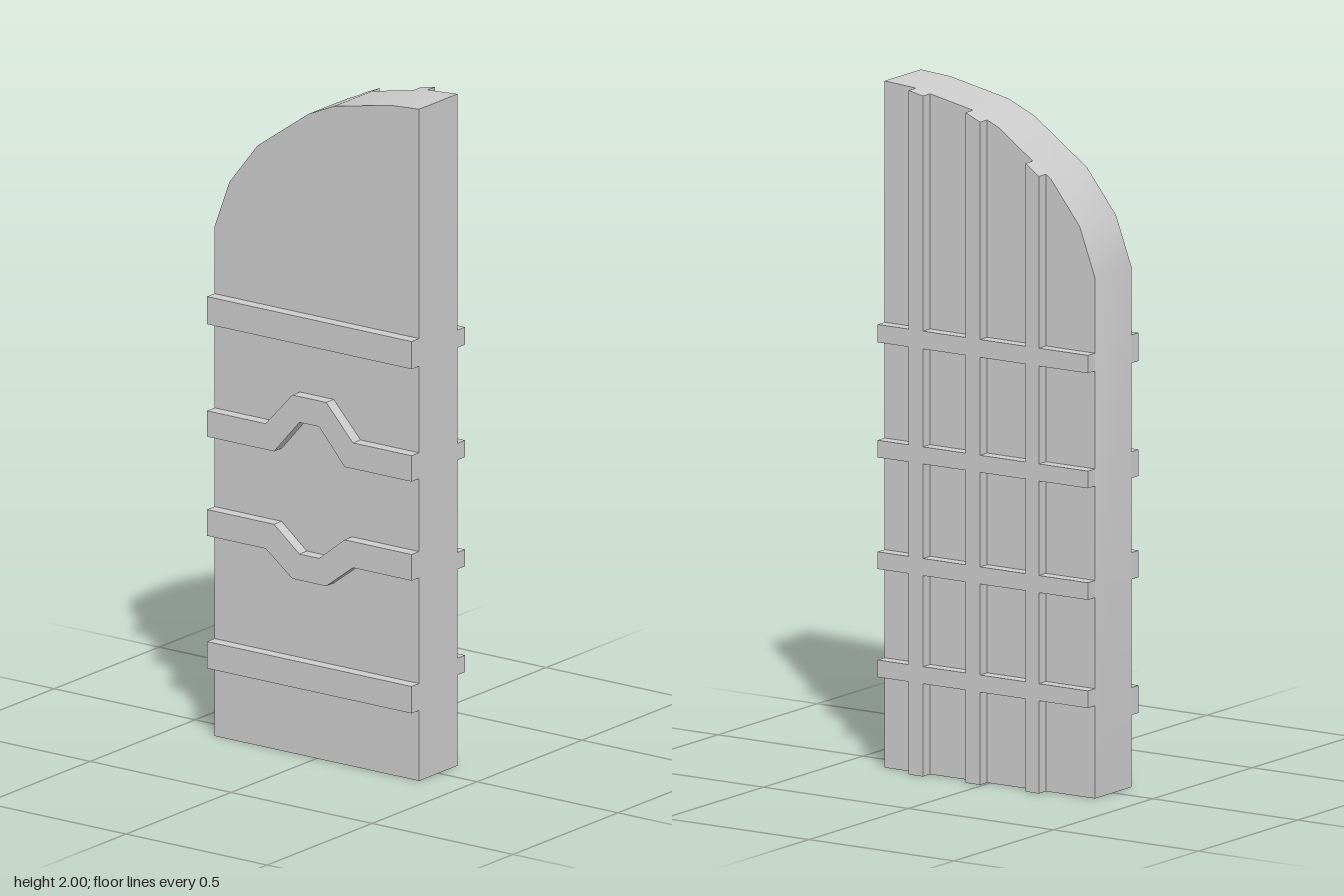
import * as THREE from 'three';
import { toCreasedNormals } from 'three/addons/utils/BufferGeometryUtils.js';

const HALF = 0.363;                 // half width of the door along z
const BACK = -0.092, FACE = 0.091;  // panel faces along x
const BACK_OUT = -0.128, FACE_OUT = 0.127;

// Top curve of the door leaf as [z, y], from the tall edge to the low edge
const ARC = [
  [HALF, 2], [0.262, 1.993], [0.061, 1.953], [-0.03, 1.913],
  [-0.21, 1.786], [-0.31, 1.659], [-HALF, 1.516],
];

// Height of the top curve at a given z
function arcHeight(z) {
  for (let i = 1; i < ARC.length; i++) {
    const [z0, y0] = ARC[i - 1], [z1, y1] = ARC[i];
    if (z >= z1) return y0 + (y1 - y0) * (z0 - z) / (z0 - z1);
  }
  return ARC[ARC.length - 1][1];
}

export function createModel() {
  const model = new THREE.Group();
  const material = new THREE.MeshStandardMaterial({ color: 0xcccccc });

  // Extrude a [z, y] outline along x between x0 and x1
  function slab(name, outline, x0, x1) {
    const shape = new THREE.Shape(outline.map(([z, y]) => new THREE.Vector2(z, y)));
    const geometry = new THREE.ExtrudeGeometry(shape, { depth: x1 - x0, bevelEnabled: false });
    geometry.rotateY(-Math.PI / 2).translate(x1, 0, 0);
    const mesh = new THREE.Mesh(toCreasedNormals(geometry, 0.5), material);
    mesh.name = name;
    model.add(mesh);
  }

  const bar = (y0, y1) => [[-HALF, y0], [HALF, y0], [HALF, y1], [-HALF, y1]];

  // Door leaf with its quarter-arched top
  slab('doorPanel', [[-HALF, 0], [HALF, 0], ...ARC], BACK, FACE);

  // Upright battens, trimmed to the arch
  [[0.206, 0.256], [0.009, 0.059], [-0.194, -0.148]].forEach(([z0, z1], i) => {
    const tops = ARC.filter(([z]) => z > z0 && z < z1);
    slab('uprightBatten' + (i + 1),
      [[z0, 0], [z1, 0], [z1, arcHeight(z1)], ...tops, [z0, arcHeight(z0)]], FACE, FACE_OUT);
  });

  // Cross battens
  [[0.27, 0.32], [0.585, 0.635], [0.91, 0.96], [1.245, 1.297]].forEach(([y0, y1], i) =>
    slab('crossBatten' + (i + 1), bar(y0, y1), FACE, FACE_OUT));

  // Straight straps on the other face
  slab('lowerStrap', bar(0.21, 0.29), BACK_OUT, BACK);
  slab('upperStrap', bar(1.235, 1.317), BACK_OUT, BACK);

  // Straps that kink around the middle; dir = 1 kinks up, -1 kinks down
  function kinkedStrap(name, inner, outer, rise, dir) {
    const edge = (y, flat, foot) => [
      [-HALF, y], [-foot, y], [-flat, y + dir * rise],
      [flat, y + dir * rise], [foot, y], [HALF, y],
    ];
    const outline = [...edge(inner, 0.035, 0.125), ...edge(outer, 0.06, 0.155).reverse()];
    if (dir < 0) outline.reverse();
    slab(name, outline, BACK_OUT, BACK);
  }
  kinkedStrap('raisedStrap', 0.9, 0.977, 0.103, 1);
  kinkedStrap('droppedStrap', 0.683, 0.605, 0.072, -1);

  return model;
}
